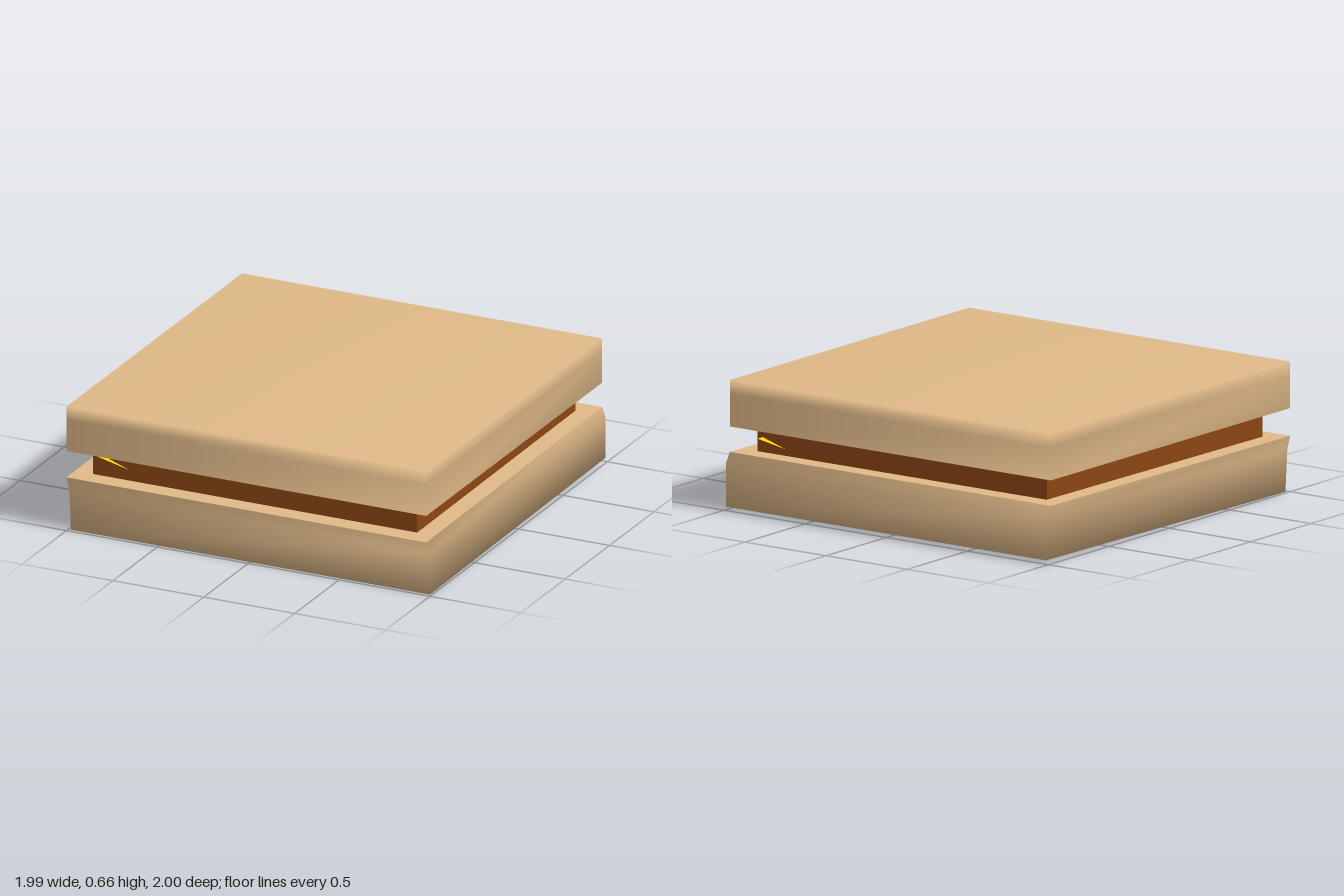
import * as THREE from 'three';

const tan = new THREE.MeshStandardMaterial({ color: 0xdeb887 });
const brown = new THREE.MeshStandardMaterial({ color: 0x8b4513 });
const yellow = new THREE.MeshStandardMaterial({ color: 0xffd700, side: THREE.DoubleSide });

// Four corners of a ring, anticlockwise from above; yF and yB are front and back heights
const ring = ([x0, x1, z0, z1, yF, yB]) => [x0, yF, z1, x1, yF, z1, x1, yB, z0, x0, yB, z0];

function geometry(positions, index) {
  const g = new THREE.BufferGeometry();
  g.setAttribute('position', new THREE.Float32BufferAttribute(positions, 3));
  g.setIndex(index);
  g.computeVertexNormals();
  return g;
}

// Slice lofted from bottom to top; the crust side blends softly into one
// face, while the cut face keeps a sharp edge
function slice(name, rings, cutOnTop) {
  const group = new THREE.Group();
  group.name = name;
  const positions = rings.flatMap(ring);
  const index = [];
  for (let r = 0; r < rings.length - 1; r++) {
    for (let i = 0; i < 4; i++) {
      const a = r * 4 + i, b = r * 4 + (i + 1) % 4;
      index.push(a, b, b + 4, a, b + 4, a + 4);
    }
  }
  const up = [0, 1, 2, 0, 2, 3], down = [0, 2, 1, 0, 3, 2];
  const last = (rings.length - 1) * 4;
  index.push(...(cutOnTop ? down : up.map((i) => i + last)));
  const crust = new THREE.Mesh(geometry(positions, index), tan);
  crust.name = 'crust';
  const cutRing = cutOnTop ? rings[rings.length - 1] : rings[0];
  const cut = new THREE.Mesh(geometry(ring(cutRing), cutOnTop ? up : down), tan);
  cut.name = 'cutFace';
  group.add(crust, cut);
  return group;
}

export function createModel() {
  const model = new THREE.Group();
  model.name = 'sandwich';

  // Slices: x min, x max, z min, z max, front height, back height
  model.add(slice('bottomSlice', [
    [-0.985, 0.99, -1, 0.98, 0, 0.02],
    [-0.99, 0.99, -1, 0.99, 0.22, 0.235],
    [-1, 0.98, -0.98, 1, 0.283, 0.295],
  ], true));
  model.add(slice('topSlice', [
    [-1, 0.98, -0.98, 1, 0.424, 0.424],
    [-1, 0.98, -0.98, 1, 0.59, 0.59],
    [-1, 0.98, -0.98, 1, 0.66, 0.66],
  ], false));

  // Filling
  const filling = new THREE.Mesh(new THREE.BoxGeometry(1.785, 0.15, 1.785), brown);
  filling.name = 'filling';
  filling.position.set(-0.01, 0.352, 0.01);
  model.add(filling);

  // Cheese corners poking out of the filling: outer tip, inner end, low end
  const corners = [
    [-0.87, 0.4, 0.94, -0.87, 0.4, 0.88, -0.69, 0.335, 0.9],
    [0.85, 0.37, -0.925, 0.85, 0.37, -0.87, 0.7, 0.325, -0.88],
    [-0.87, 0.37, -0.92, -0.87, 0.37, -0.87, -0.75, 0.325, -0.88],
  ];
  for (const points of corners) {
    const cheese = new THREE.Mesh(geometry(points, [0, 1, 2]), yellow);
    cheese.name = 'cheeseCorner';
    model.add(cheese);
  }
  return model;
}
